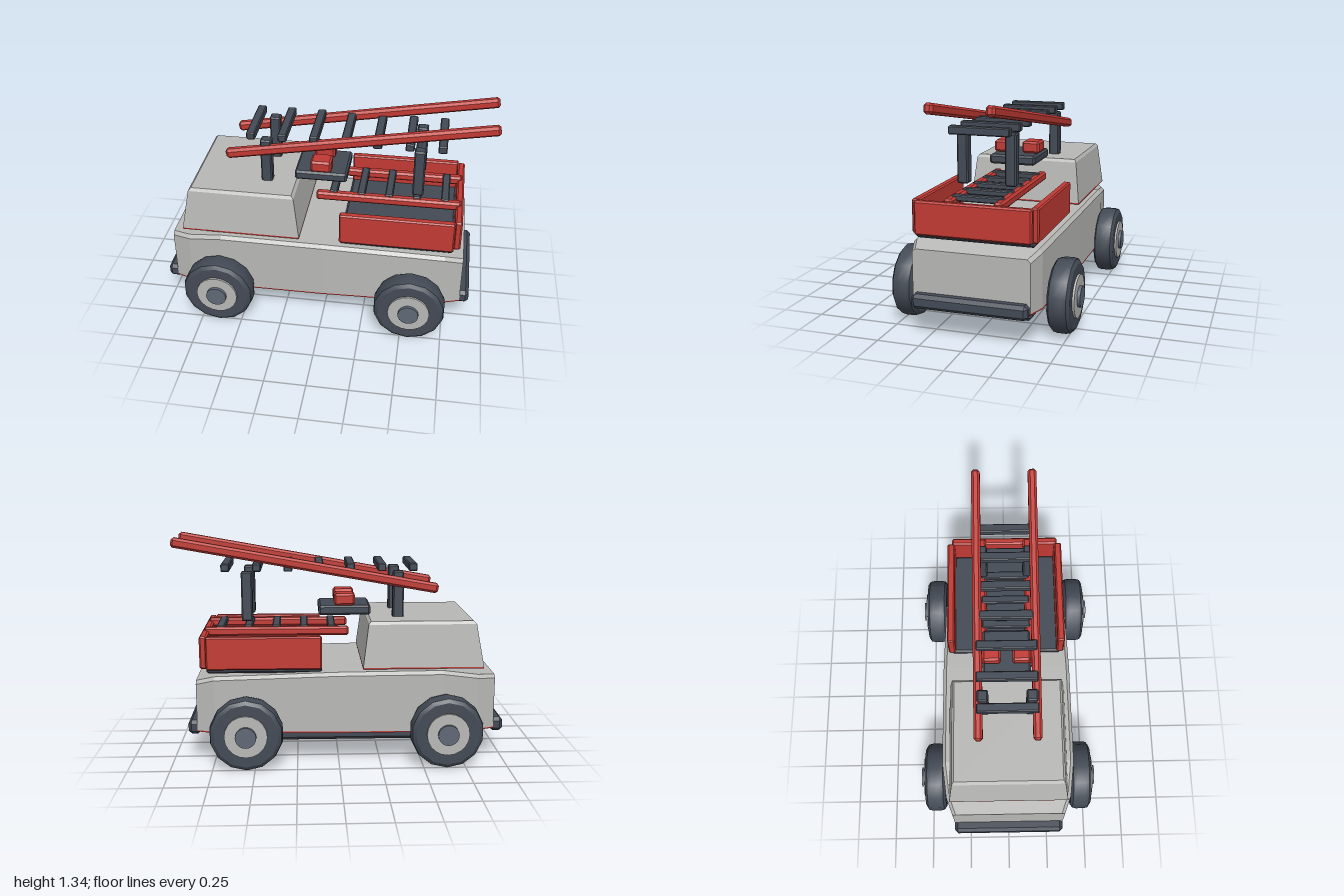
import * as THREE from 'three';
import { toCreasedNormals } from 'three/addons/utils/BufferGeometryUtils.js';
import { ConvexGeometry } from 'three/addons/geometries/ConvexGeometry.js';

const mat = (name, color) => {
  const m = new THREE.MeshStandardMaterial({ color });
  m.name = name;
  return m;
};

// box with flat chamfered edges
function chamferBox(w, h, d, c) {
  const pts = [];
  for (const sx of [-1, 1]) for (const sy of [-1, 1]) for (const sz of [-1, 1]) {
    const x = w / 2, y = h / 2, z = d / 2;
    pts.push(new THREE.Vector3(sx * x, sy * (y - c), sz * (z - c)));
    pts.push(new THREE.Vector3(sx * (x - c), sy * y, sz * (z - c)));
    pts.push(new THREE.Vector3(sx * (x - c), sy * (y - c), sz * z));
  }
  return new ConvexGeometry(pts);
}

// flat-shaded loft along x through stations of [x, half width, top height]
function bodyGeometry(stations, bottom, c) {
  const rings = stations.map(([x, w, t]) => [
    [w, bottom], [w, t - c], [w - c, t], [c - w, t], [-w, t - c], [-w, bottom],
  ].map(([z, y]) => [x, y, z]));
  const pos = [];
  const tri = (a, b, d) => pos.push(...a, ...b, ...d);
  for (let i = 0; i < rings.length - 1; i++) {
    const a = rings[i], b = rings[i + 1];
    for (let j = 0; j < 5; j++) {
      tri(a[j], b[j], b[j + 1]);
      tri(a[j], b[j + 1], a[j + 1]);
    }
  }
  const first = rings[0], last = rings[rings.length - 1];
  for (let j = 1; j < 5; j++) {
    tri(first[0], first[j], first[j + 1]);
    tri(last[0], last[j + 1], last[j]);
  }
  const g = new THREE.BufferGeometry();
  g.setAttribute('position', new THREE.Float32BufferAttribute(pos, 3));
  g.computeVertexNormals();
  return g;
}

export function createModel() {
  const root = new THREE.Group();
  root.name = 'ladderTruck';
  const grey = mat('body grey', 0xb8b8b6);
  const red = mat('red', 0xc23a34);
  const dark = mat('dark rubber', 0x434a55);
  const steel = mat('hub steel', 0x5f6876);

  const add = (name, geo, m, parent = root) => {
    const mesh = new THREE.Mesh(geo, m);
    mesh.name = name;
    parent.add(mesh);
    return mesh;
  };
  // chamfered block given by its limits on each axis
  const block = (name, m, x0, x1, y0, y1, z0, z1, c = 0.012) => {
    const mesh = add(name, chamferBox(x1 - x0, y1 - y0, z1 - z0, c), m);
    mesh.position.set((x0 + x1) / 2, (y0 + y1) / 2, (z0 + z1) / 2);
    return mesh;
  };

  // lower body with a red underside
  const stations = [
    [-0.94, 0.345, 0.525], [-0.83, 0.385, 0.535], [-0.62, 0.408, 0.567],
    [0, 0.405, 0.562], [0.74, 0.38, 0.535], [0.85, 0.345, 0.505],
  ];
  add('body', bodyGeometry(stations, 0.2, 0.02), grey);
  const outline = new THREE.Shape([
    ...stations.map(([x, w]) => new THREE.Vector2(x, w)),
    ...stations.slice().reverse().map(([x, w]) => new THREE.Vector2(x, -w)),
  ]);
  const under = new THREE.ExtrudeGeometry(outline, { depth: 0.008, bevelEnabled: false });
  under.rotateX(Math.PI / 2).translate(0, 0.2, 0);
  add('bodyUnderside', under, red);

  // tapered cab with a chamfered roof
  const cabPoints = [];
  for (const [x0, x1, w, y] of [
    [-0.868, -0.145, 0.362, 0.58], [-0.822, -0.178, 0.333, 0.835], [-0.805, -0.193, 0.32, 0.853],
  ]) for (const z of [-w, w]) cabPoints.push(new THREE.Vector3(x0, y, z), new THREE.Vector3(x1, y, z));
  add('cab', new ConvexGeometry(cabPoints), grey);
  const trim = add('cabTrim', new THREE.BoxGeometry(0.723, 0.009, 0.724), red);
  trim.position.set(-0.5065, 0.5755, 0);

  // chassis and bumpers
  block('chassis', dark, -0.86, 0.775, 0.12, 0.2, -0.325, 0.325, 0.02);
  block('frontBumper', dark, -1, -0.92, 0.17, 0.255, -0.345, 0.345, 0.02);
  block('rearBumper', dark, 0.83, 0.905, 0.17, 0.255, -0.34, 0.34, 0.02);

  // open rear bed
  block('bedFloor', dark, 0.1, 0.785, 0.55, 0.59, -0.35, 0.35);
  for (const s of [-1, 1]) {
    const z = s * 0.347;
    block('bedSide', red, 0.1, 0.785, 0.575, 0.773, z - 0.023, z + 0.023, 0.008);
  }
  block('bedBack', red, 0.78, 0.825, 0.575, 0.773, -0.342, 0.342, 0.01);

  // small stowed ladder
  for (const s of [-1, 1]) {
    const z = s * 0.145;
    block('lowerLadderRail', red, -0.068, 0.81, 0.738, 0.792, z - 0.026, z + 0.026);
  }
  for (let i = 0; i < 5; i++) {
    const x = 0.037 + i * 0.169;
    block('lowerLadderRung', dark, x - 0.024, x + 0.024, 0.765, 0.8, -0.15, 0.15, 0.006);
  }

  // beacon platform
  block('beaconPlatform', dark, -0.203, 0.116, 0.858, 0.917, -0.145, 0.145);
  for (const s of [-1, 1]) {
    const z = s * 0.09;
    block('beacon', red, -0.107, 0.02, 0.917, 0.99, z - 0.055, z + 0.055);
  }

  // ladder supports and the raised ladder
  for (const s of [-1, 1]) {
    const z = s * 0.143;
    block('frontPost', dark, -0.402, -0.335, 0.845, 1.13, z - 0.033, z + 0.033, 0.008);
    block('rearPost', dark, 0.514, 0.581, 0.83, 1.13, z - 0.033, z + 0.033, 0.008);
    const rail = add('upperLadderRail', chamferBox(1.625, 0.06, 0.052, 0.014), red);
    rail.position.set(0.19, 1.168, s * 0.17);
    rail.rotation.z = 0.178;
  }
  for (let i = 0; i < 7; i++) {
    const x = -0.456 + i * 0.1885;
    block('upperLadderRung', dark, x - 0.026, x + 0.026, 1.131, 1.179, -0.178, 0.178, 0.006);
  }

  // wheels with hub plate and cap
  const tyre = toCreasedNormals(new THREE.LatheGeometry(
    [[0, 0.4], [0.19, 0.4], [0.212, 0.415], [0.218, 0.44], [0.218, 0.49], [0.212, 0.515], [0.19, 0.53], [0, 0.53]]
      .map(([r, y]) => new THREE.Vector2(r, y)), 14), 0.6).rotateX(Math.PI / 2);
  const disc = (r, z0, z1) => new THREE.CylinderGeometry(r, r, z1 - z0, 20)
    .translate(0, (z0 + z1) / 2, 0).rotateX(Math.PI / 2);
  const hub = disc(0.126, 0.5, 0.542), cap = disc(0.062, 0.5, 0.56);
  for (const x of [-0.635, 0.548]) for (const s of [1, -1]) {
    const wheel = new THREE.Group();
    wheel.name = (x < 0 ? 'front' : 'rear') + 'Wheel';
    add('tyre', tyre, dark, wheel);
    add('hub', hub, grey, wheel);
    add('hubCap', cap, steel, wheel);
    wheel.position.set(x, 0.218, 0);
    if (s < 0) wheel.rotation.y = Math.PI;
    root.add(wheel);
  }
  return root;
}
